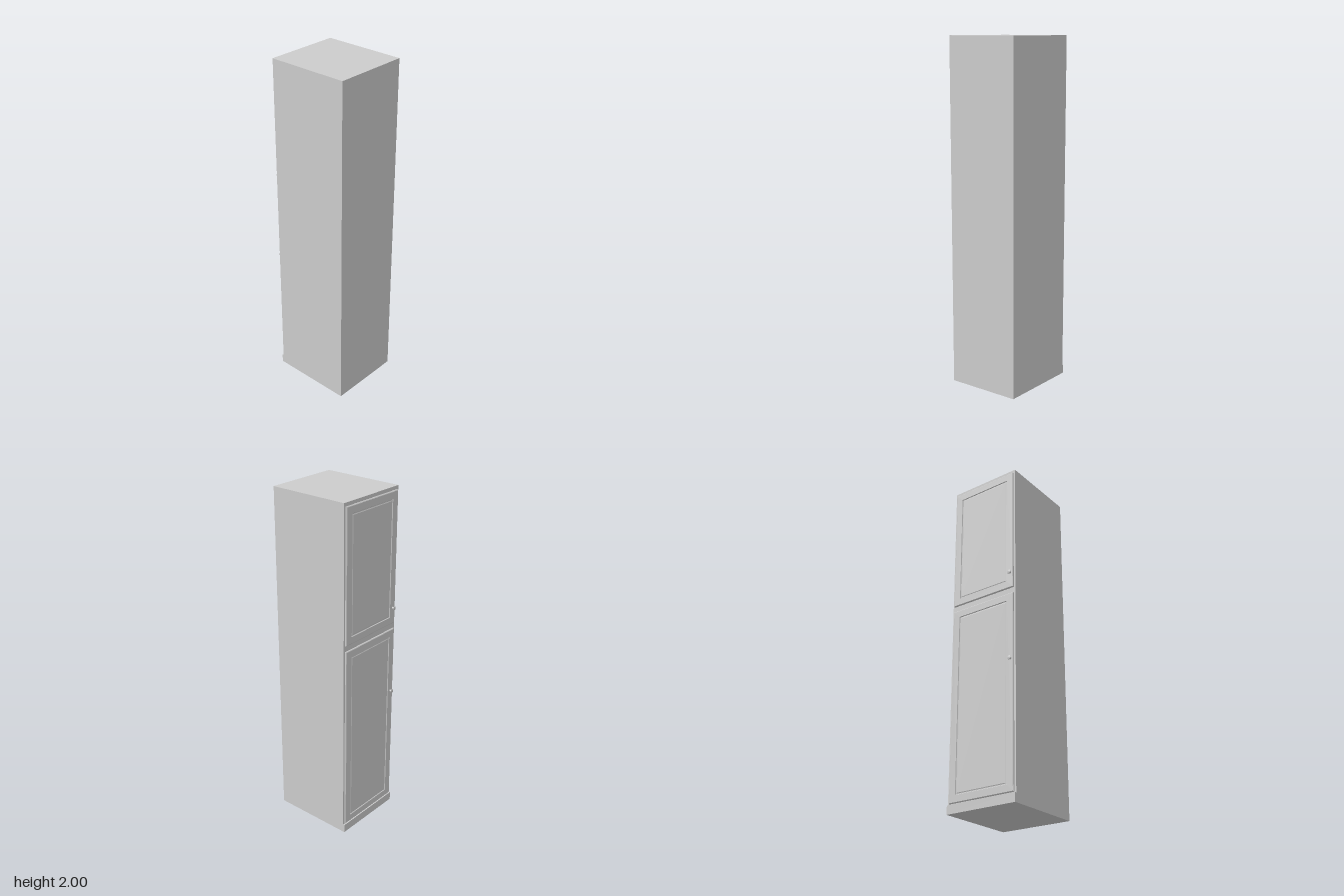
import * as THREE from 'three';

const material = new THREE.MeshStandardMaterial({ color: 0xcccccc });
const FACE = -0.231; // plane of the carcass that carries the doors

function add(parent, name, geometry, x = 0, y = 0, z = 0) {
  const mesh = new THREE.Mesh(geometry, material);
  mesh.name = name;
  mesh.position.set(x, y, z);
  parent.add(mesh);
  return mesh;
}

// Panelled door facing -x, made of nested rectangles [inset, depth]
function doorGeometry(width, height, rings) {
  const corners = ([inset, depth]) => {
    const a = width / 2 - inset, b = height / 2 - inset;
    return [[-depth, -b, -a], [-depth, -b, a], [-depth, b, a], [-depth, b, -a]];
  };
  const points = [];
  const quad = (a, b, c, d) => points.push(...a, ...b, ...c, ...a, ...c, ...d);
  for (let i = 0; i < rings.length - 1; i++) {
    const outer = corners(rings[i]), inner = corners(rings[i + 1]);
    for (let k = 0; k < 4; k++) {
      const n = (k + 1) % 4;
      quad(outer[k], outer[n], inner[n], inner[k]);
    }
  }
  quad(...corners(rings[rings.length - 1]));
  const geometry = new THREE.BufferGeometry();
  geometry.setAttribute('position', new THREE.Float32BufferAttribute(points, 3));
  geometry.computeVertexNormals();
  return geometry;
}

export function createModel() {
  const cabinet = new THREE.Group();
  cabinet.name = 'tallCabinet';

  // Carcass and plinth
  add(cabinet, 'carcass', new THREE.BoxGeometry(0.484, 2, 0.442), 0.011, 1, 0);
  add(cabinet, 'plinth', new THREE.BoxGeometry(0.01, 0.05, 0.442), -0.235, 0.025, 0);

  // Edge chamfer, flat frame, moulded groove, centre panel
  const profile = [[0, 0], [0, 0.006], [0.004, 0.009], [0.042, 0.009],
    [0.045, 0.005], [0.049, 0.005], [0.053, 0.007]];

  // Knob profile: foot, stem, flared head
  const knobProfile = [[0.008, 0], [0.006, 0.002], [0.006, 0.008], [0.011, 0.010],
    [0.012, 0.012], [0.010, 0.014], [0, 0.015]].map(([r, h]) => new THREE.Vector2(r, h));

  const doors = [
    { name: 'lowerDoor', bottom: 0.055, top: 1.18, knobY: 0.785 },
    { name: 'upperDoor', bottom: 1.215, top: 1.98, knobY: 1.31 },
  ];
  for (const { name, bottom, top, knobY } of doors) {
    const door = new THREE.Group();
    door.name = name;
    cabinet.add(door);
    add(door, name + 'Panel', doorGeometry(0.42, top - bottom, profile), FACE, (bottom + top) / 2, 0);
    const knob = add(door, name + 'Knob', new THREE.LatheGeometry(knobProfile, 20), FACE - 0.009, knobY, 0.191);
    knob.rotation.z = Math.PI / 2;
  }
  return cabinet;
}
